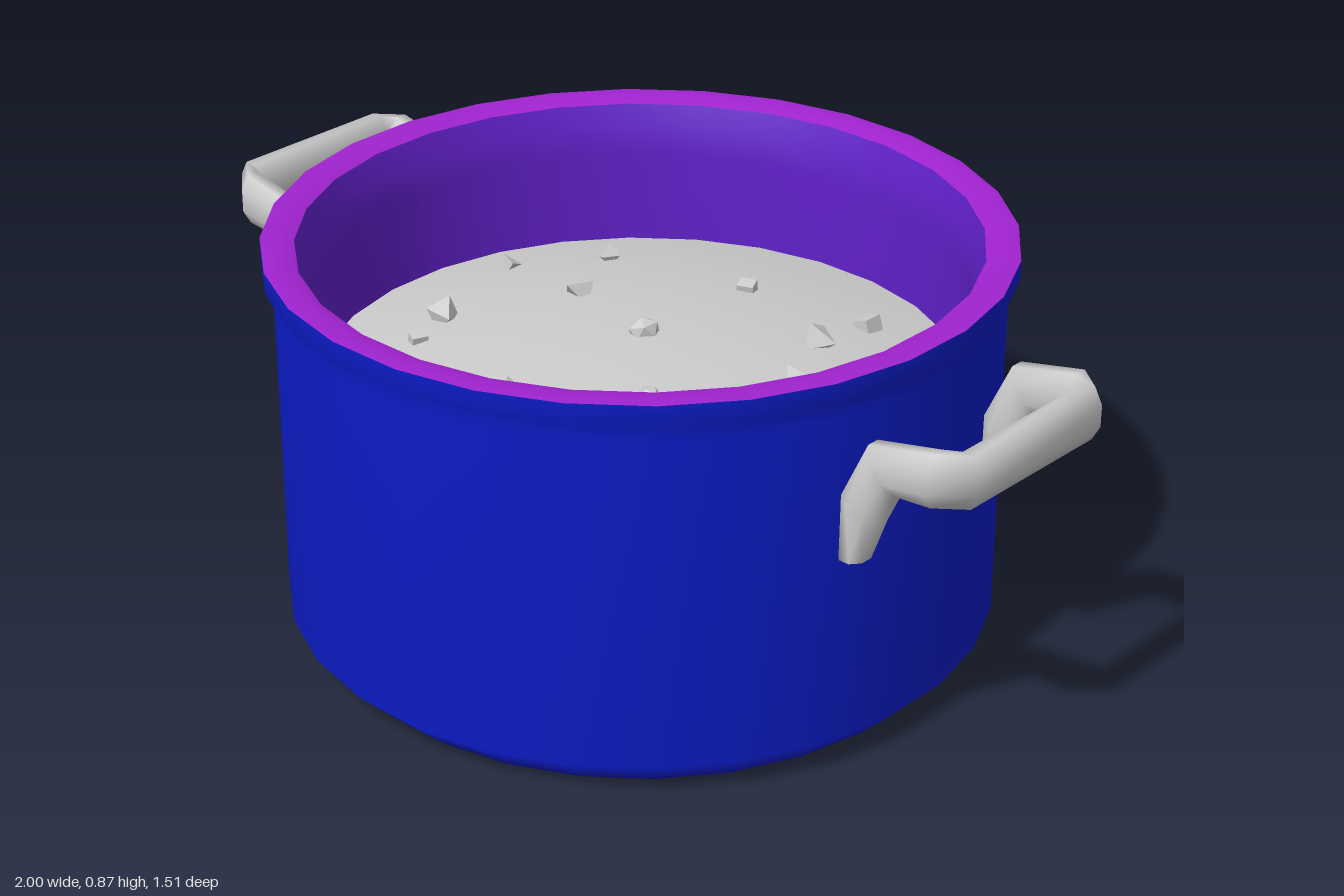
import * as THREE from 'three';

const SIDES = 28;
const mat = (color, extra = {}) => new THREE.MeshStandardMaterial({ color, ...extra });

function add(parent, name, geometry, material) {
  const mesh = new THREE.Mesh(geometry, material);
  mesh.name = name;
  parent.add(mesh);
  return mesh;
}

// Turned part with a flat facet facing each axis; profile is [radius, y]
function turned(profile) {
  const pts = profile.map(([r, y]) => new THREE.Vector2(r, y));
  return new THREE.LatheGeometry(pts, SIDES, Math.PI / SIDES);
}

// U-shaped handle swept through octagonal rings
function handleGeometry() {
  // centre x, y, z | half-width x, z | half-height x, y
  const half = [
    [0.745, 0.50, 0.217, 0, 0.033, -0.028, 0],
    [0.763, 0.61, 0.217, 0, 0.033, -0.045, 0.015],
    [0.81, 0.71, 0.217, 0, 0.033, -0.032, 0.042],
    [0.925, 0.73, 0.217, 0, 0.033, 0, 0.055],
    [0.97, 0.73, 0.185, 0.03, 0, 0, 0.055],
  ];
  const mirrored = half.map(([x, y, z, wx, wz, tx, ty]) => [x, y, -z, wx, -wz, tx, ty]).reverse();
  const rings = [...half, ...mirrored];
  const n = 8, pos = [], idx = [];
  for (const [x, y, z, wx, wz, tx, ty] of rings) {
    for (let j = 0; j < n; j++) {
      const a = ((j + 0.5) / n) * Math.PI * 2, k = 1 / Math.cos(Math.PI / n);
      const c = Math.cos(a) * k, s = Math.sin(a) * k;
      pos.push(x + wx * c + tx * s, y + ty * s, z + wz * c);
    }
  }
  for (let i = 0; i < rings.length - 1; i++) {
    for (let j = 0; j < n; j++) {
      const a = i * n + j, b = i * n + (j + 1) % n;
      idx.push(a, a + n, b + n, a, b + n, b);
    }
  }
  // End caps
  const last = (rings.length - 1) * n;
  for (let j = 1; j < n - 1; j++) {
    idx.push(0, j, j + 1, last, last + j + 1, last + j);
  }
  const g = new THREE.BufferGeometry();
  g.setAttribute('position', new THREE.Float32BufferAttribute(pos, 3));
  g.setIndex(idx);
  g.computeVertexNormals();
  return g;
}

const soupHeight = (r) => 0.635 - 0.2 * r * r;

export function createModel() {
  const model = new THREE.Group();
  model.name = 'cookingPot';
  const grey = mat(0xcccccc);

  // Outer shell with bevelled base and flared lip
  add(model, 'potShell', turned([
    [0, 0], [0.665, 0], [0.737, 0.072], [0.737, 0.775], [0.758, 0.82], [0.758, 0.862],
  ]), mat(0x0c1cc8));

  // Rim and inner wall
  add(model, 'rim', turned([
    [0.758, 0.862], [0.725, 0.866], [0.69, 0.855],
  ]), mat(0xa023cf));
  add(model, 'innerWall', turned([
    [0.69, 0.855], [0.675, 0.81], [0.662, 0.75], [0.66, 0.45],
  ]), mat(0x6020c8));

  // Domed soup surface
  const soup = [];
  for (let i = 6; i >= 0; i--) soup.push([0.663 * i / 6, soupHeight(0.663 * i / 6)]);
  add(model, 'soup', turned(soup), grey);

  // Chunks floating in the soup: x, z, size, shape
  const chunkMat = mat(0xcccccc, { flatShading: true });
  const shapes = [
    new THREE.BoxGeometry(1.4, 1.2, 1.3),
    new THREE.OctahedronGeometry(1),
    new THREE.TetrahedronGeometry(1.2),
    new THREE.IcosahedronGeometry(1),
  ];
  const chunks = new THREE.Group();
  chunks.name = 'soupChunks';
  model.add(chunks);
  [
    [0.26, -0.41, 0.035, 0], [0.25, -0.25, 0.052, 1], [-0.36, -0.29, 0.034, 1],
    [-0.01, -0.34, 0.028, 0], [-0.5, -0.13, 0.03, 2], [-0.24, -0.07, 0.036, 2],
    [0.34, -0.09, 0.036, 2], [0, -0.01, 0.035, 3], [-0.41, 0.16, 0.05, 1],
    [-0.37, 0.27, 0.026, 0], [0.19, 0.18, 0.03, 3], [0.46, 0.16, 0.043, 3],
    [0.33, 0.34, 0.027, 0], [-0.07, 0.31, 0.014, 2], [-0.08, 0.48, 0.026, 1],
    [0.08, 0.54, 0.045, 2],
  ].forEach(([x, z, size, shape], i) => {
    const chunk = add(chunks, 'chunk', shapes[shape], chunkMat);
    chunk.position.set(x, soupHeight(Math.hypot(x, z)) + size * 0.15, z);
    chunk.rotation.set(0.3 * Math.sin(i * 2.1), i * 1.7, 0.3 * Math.cos(i * 1.3));
    chunk.scale.set(size * 0.75, size * 0.8, size);
  });

  // Side handles
  const handle = handleGeometry();
  add(model, 'leftHandle', handle, grey);
  add(model, 'rightHandle', handle, grey).rotation.y = Math.PI;

  return model;
}
